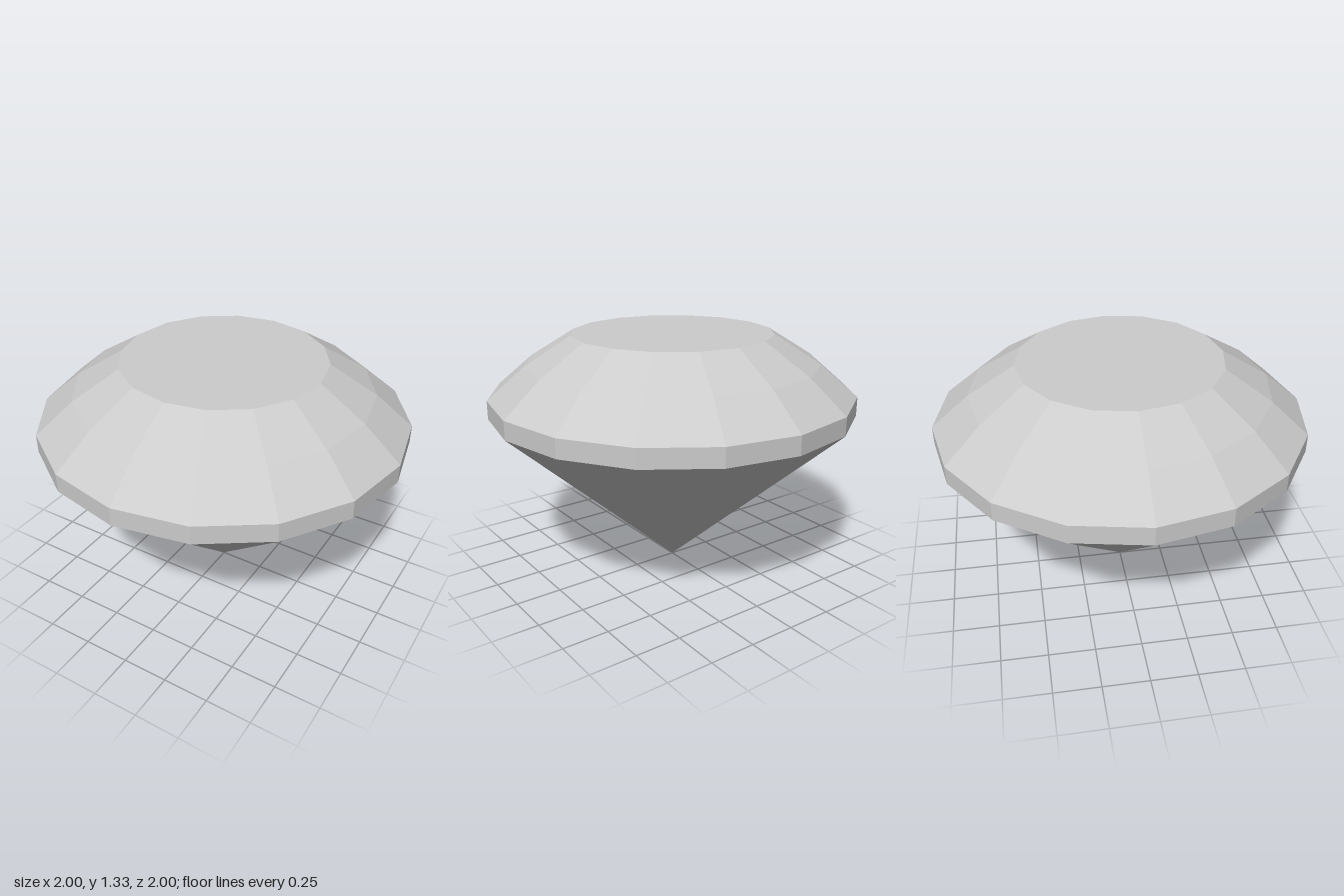
import * as THREE from 'three';

const SIDES = 16;

export function createModel() {
  const model = new THREE.Group();
  model.name = 'gem';
  const material = new THREE.MeshStandardMaterial({ color: 0xcccccc, flatShading: true });

  // One faceted band between two heights
  function band(name, bottomRadius, bottomY, topRadius, topY) {
    const height = topY - bottomY;
    const geometry = new THREE.CylinderGeometry(topRadius, bottomRadius, height, SIDES, 1, true);
    const mesh = new THREE.Mesh(geometry, material);
    mesh.name = name;
    mesh.position.y = bottomY + height / 2;
    model.add(mesh);
  }

  // Pointed underside, upright rim, and two sloping tiers above it
  band('pavilion', 0, 0, 1, 0.9);
  band('girdle', 1, 0.9, 1, 1);
  band('lowerCrown', 1, 1, 0.8, 1.17);
  band('upperCrown', 0.8, 1.17, 0.55, 1.325);

  // Flat top facet
  const table = new THREE.Mesh(new THREE.CircleGeometry(0.55, SIDES), material);
  table.name = 'table';
  table.rotation.x = -Math.PI / 2;
  table.position.y = 1.325;
  model.add(table);

  return model;
}
